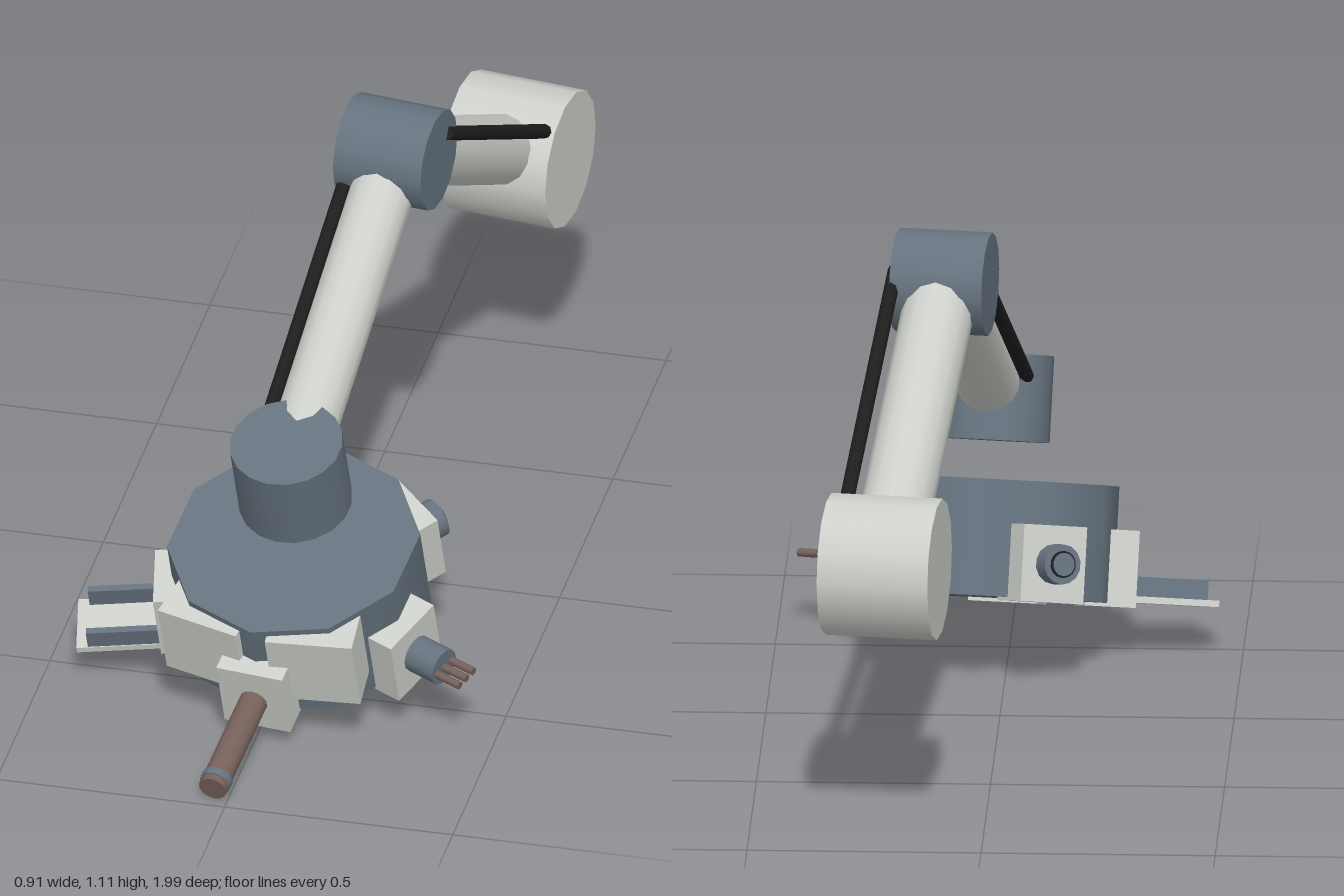
import * as THREE from 'three';

const mat = (name, color) => {
  const m = new THREE.MeshStandardMaterial({ color });
  m.name = name;
  return m;
};

export function createModel() {
  const light = mat('light grey', 0xcdd0ca);
  const slate = mat('slate blue', 0x66737f);
  const brown = mat('dull brown', 0x76615a);
  const black = mat('cable black', 0x1e1e1e);

  const add = (parent, name, geometry, material, x = 0, y = 0, z = 0) => {
    const m = new THREE.Mesh(geometry, material);
    m.name = name;
    m.position.set(x, y, z);
    parent.add(m);
    return m;
  };
  const box = (w, h, d) => new THREE.BoxGeometry(w, h, d);
  const cyl = (r, len, sides = 16) => new THREE.CylinderGeometry(r, r, len, sides);
  // Cylinder lying along z from z0 to z1
  const rod = (parent, name, r, z0, z1, material, x, y, sides) =>
    add(parent, name, cyl(r, z1 - z0, sides).rotateX(Math.PI / 2), material, x, y, (z0 + z1) / 2);
  // Cylinder between two points
  const limb = (parent, name, r, a, b, material, sides) => {
    const dir = b.clone().sub(a);
    const m = add(parent, name, cyl(r, dir.length(), sides), material);
    m.position.copy(a).add(b).multiplyScalar(0.5);
    m.quaternion.setFromUnitVectors(new THREE.Vector3(0, 1, 0), dir.normalize());
    return m;
  };

  const model = new THREE.Group();
  model.name = 'robotArm';

  // The arm lies in one upright plane, turned slightly about y
  const arm = new THREE.Group();
  arm.name = 'arm';
  arm.position.set(0.115, 0, -0.105);
  arm.rotation.y = -0.134;
  model.add(arm);

  const base = new THREE.Vector3(0, 0.592, -0.737);
  const elbow = new THREE.Vector3(0, 1.005, 0);
  const wrist = new THREE.Vector3(0, 0.56, 0.624);

  // Joints
  add(arm, 'baseJoint', cyl(0.152, 0.24, 14).rotateZ(Math.PI / 2), light, ...base.toArray());
  add(arm, 'elbowJoint', cyl(0.111, 0.2, 14).rotateZ(Math.PI / 2), slate, ...elbow.toArray());
  const tilt = 0.31;
  add(arm, 'wristJoint', cyl(0.122, 0.186, 18), slate, ...wrist.toArray()).rotation.x = tilt;

  // Limbs and the cables running beside them
  limb(arm, 'lowerArm', 0.077, base, elbow, light, 14);
  limb(arm, 'forearm', 0.069, elbow, wrist, light, 14);
  const cable = (name, a, b, t0, t1, side, lift) => {
    const off = new THREE.Vector3(side, lift, 0);
    limb(arm, name, 0.016, a.clone().lerp(b, t0).add(off), a.clone().lerp(b, t1).add(off), black, 8);
  };
  cable('lowerArmCable', elbow, base, 0.07, 0.87, 0.097, 0.066);
  cable('forearmCable', elbow, wrist, 0.16, 0.9, -0.08, 0.025);

  // Tool turret: y is its spin axis, z points forward
  const turret = new THREE.Group();
  turret.name = 'toolTurret';
  turret.position.set(0, 0.26, 0.57);
  turret.rotation.x = tilt;
  arm.add(turret);
  add(turret, 'turretDisc', cyl(0.272, 0.25, 10), slate);

  // Two wide blocks either side of the front
  for (const s of [-1, 1]) {
    add(turret, 'frontPlate', box(0.19, 0.177, 0.11), light, s * 0.119, 0.022, 0.21).rotation.y = s * 0.15;
  }

  // Five tool stations, each built pointing along its own z
  const stations = [0, 1, 2, 3, 4].map((i) => {
    const g = new THREE.Group();
    g.name = 'toolStation';
    g.rotation.y = (i * Math.PI * 2) / 5;
    g.position.y = -0.05;
    turret.add(g);
    add(g, 'toolBlock', box(0.15, 0.165, 0.11), light, 0, 0, 0.255);
    return g;
  });

  // Probe
  rod(stations[0], 'probeRod', 0.031, 0.3, 0.535, brown, 0, -0.004, 14);
  rod(stations[0], 'probeCollar', 0.034, 0.535, 0.553, slate, 0, -0.004, 14);
  rod(stations[0], 'probeTip', 0.031, 0.553, 0.568, brown, 0, -0.004, 14);

  // Three-pronged tool
  rod(stations[1], 'prongHolder', 0.041, 0.3, 0.385, slate, 0, 0, 14);
  for (const x of [-0.024, 0, 0.024]) rod(stations[1], 'prong', 0.009, 0.38, 0.447, brown, x, 0, 8);

  // Two round sensors
  for (const g of [stations[2], stations[3]]) {
    rod(g, 'sensorBody', 0.043, 0.3, 0.352, slate, 0, 0, 14);
    rod(g, 'sensorLens', 0.029, 0.352, 0.357, black, 0, 0, 14);
    rod(g, 'sensorGlass', 0.025, 0.357, 0.36, slate, 0, 0, 14);
  }

  // Tray with two side rails
  add(stations[4], 'tray', box(0.14, 0.014, 0.19), light, 0, -0.064, 0.395);
  for (const s of [-1, 1]) {
    add(stations[4], 'trayRail', box(0.016, 0.042, 0.16), slate, s * 0.06, -0.036, 0.385);
  }

  return model;
}
